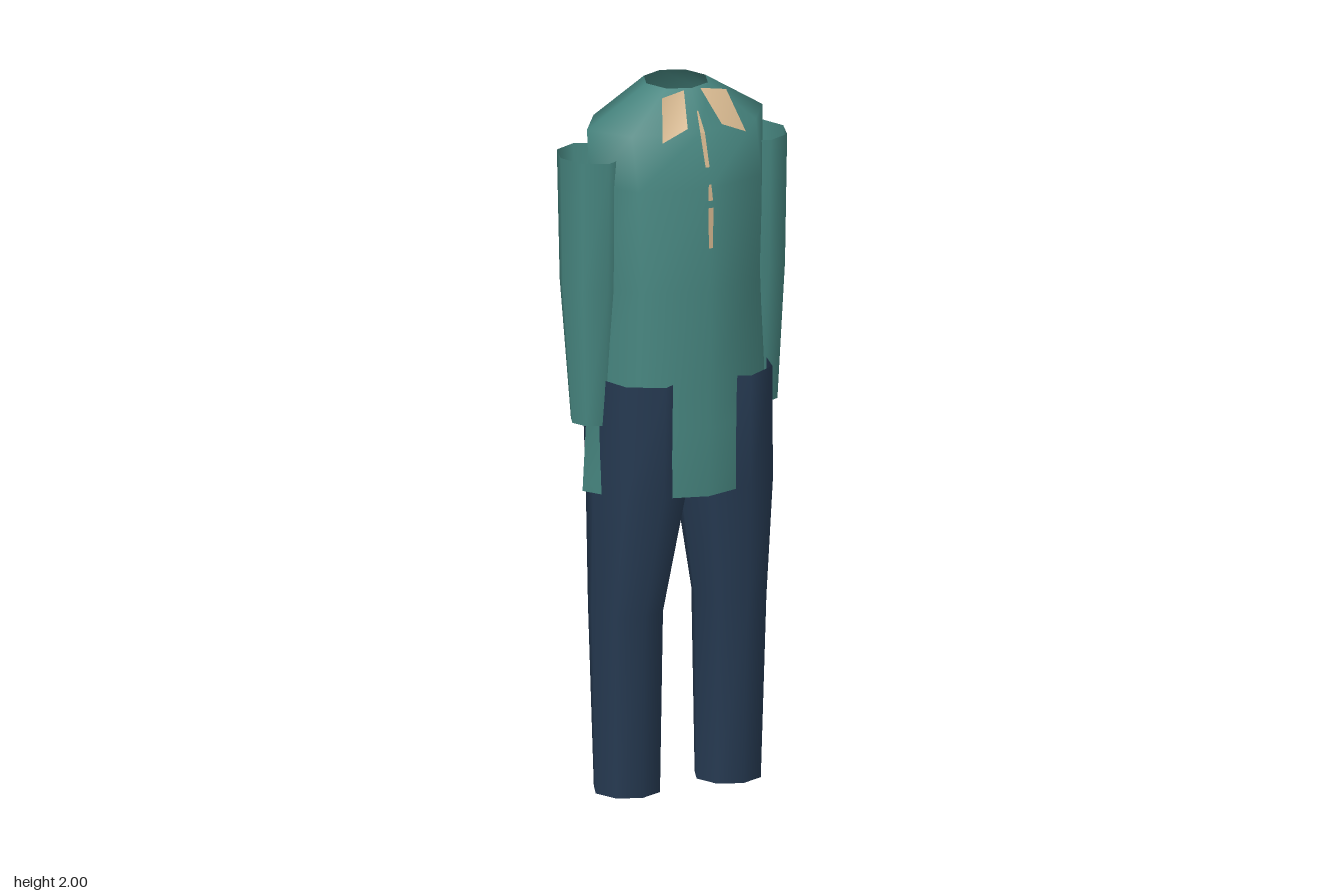
import * as THREE from 'three';

const SIDES = 8;

// Open tube lofted through elliptical rings [y, cx, cz, rx, rz], bottom to top
function loft(rings, mirror = 1) {
  const pos = [], index = [];
  for (const [y, cx, cz, rx, rz] of rings) {
    for (let i = 0; i < SIDES; i++) {
      const a = (i / SIDES) * Math.PI * 2;
      pos.push(mirror * cx + Math.sin(a) * rx, y, cz + Math.cos(a) * rz);
    }
  }
  for (let r = 0; r < rings.length - 1; r++) {
    for (let i = 0; i < SIDES; i++) {
      const a = r * SIDES + i, b = r * SIDES + ((i + 1) % SIDES);
      index.push(a, b, b + SIDES, a, b + SIDES, a + SIDES);
    }
  }
  return toGeometry(pos, index);
}

// Flat patch from four corners
function quad(corners) {
  return toGeometry(corners.flat(), [0, 1, 2, 0, 2, 3]);
}

function toGeometry(pos, index) {
  const g = new THREE.BufferGeometry();
  g.setAttribute('position', new THREE.Float32BufferAttribute(pos, 3));
  g.setIndex(index);
  g.computeVertexNormals();
  return g;
}

function material(name, color) {
  const m = new THREE.MeshStandardMaterial({ color, side: THREE.DoubleSide });
  m.name = name;
  return m;
}

export function createModel() {
  const group = new THREE.Group();
  const teal = material('teal cloth', 0x478680);
  const navy = material('navy cloth', 0x263a52);
  const tan = material('tan trim', 0xd2b48c);

  const add = (name, geometry, mat) => {
    const mesh = new THREE.Mesh(geometry, mat);
    mesh.name = name;
    group.add(mesh);
  };

  // Tunic body, open at neck and hem
  add('tunic', loft([
    [0.865, 0, -0.005, 0.285, 0.2],
    [1.06, 0, -0.002, 0.276, 0.202],
    [1.2, 0, 0, 0.268, 0.204],
    [1.45, 0, 0, 0.255, 0.204],
    [1.74, 0, -0.003, 0.265, 0.203],
    [1.89, 0, -0.012, 0.268, 0.164],
    [2.0, 0, -0.005, 0.09, 0.095],
  ]), teal);

  for (const s of [1, -1]) {
    const side = s > 0 ? 'left' : 'right';

    // Hollow sleeve
    add(side + 'Sleeve', loft([
      [1.06, 0.247, -0.015, 0.064, 0.065],
      [1.45, 0.247, -0.026, 0.088, 0.098],
      [1.815, 0.247, -0.028, 0.093, 0.109],
    ], s), teal);

    // Trouser leg, its top showing through the tunic sides
    add(side + 'TrouserLeg', loft([
      [0, 0.154, 0.004, 0.095, 0.095],
      [0.52, 0.158, 0.003, 0.103, 0.117],
      [0.87, 0.132, 0.016, 0.132, 0.17],
      [1.19, 0.13, 0.001, 0.132, 0.191],
    ], s), navy);

    // Collar flap
    const flap = [
      [0.052, 1.912, 0.17], [0.127, 1.88, 0.167],
      [0.098, 1.988, 0.105], [0.025, 1.998, 0.093],
    ].map(([x, y, z]) => [s * x, y, z]);
    add(side + 'CollarFlap', quad(s > 0 ? flap : flap.reverse()), tan);
  }

  // Broken front placket: [bottom y, z, half width, top y, z, half width]
  const strips = [
    [1.8, 0.187, 0.006, 1.89, 0.157, 0.007],
    [1.89, 0.157, 0.007, 1.945, 0.126, 0.002],
    [1.71, 0.206, 0.007, 1.755, 0.202, 0.004],
    [1.575, 0.207, 0.006, 1.69, 0.207, 0.008],
  ];
  for (const [y0, z0, w0, y1, z1, w1] of strips) {
    add('placketStrip', quad([
      [-w0, y0, z0], [w0, y0, z0], [w1, y1, z1], [-w1, y1, z1],
    ]), tan);
  }
  return group;
}
